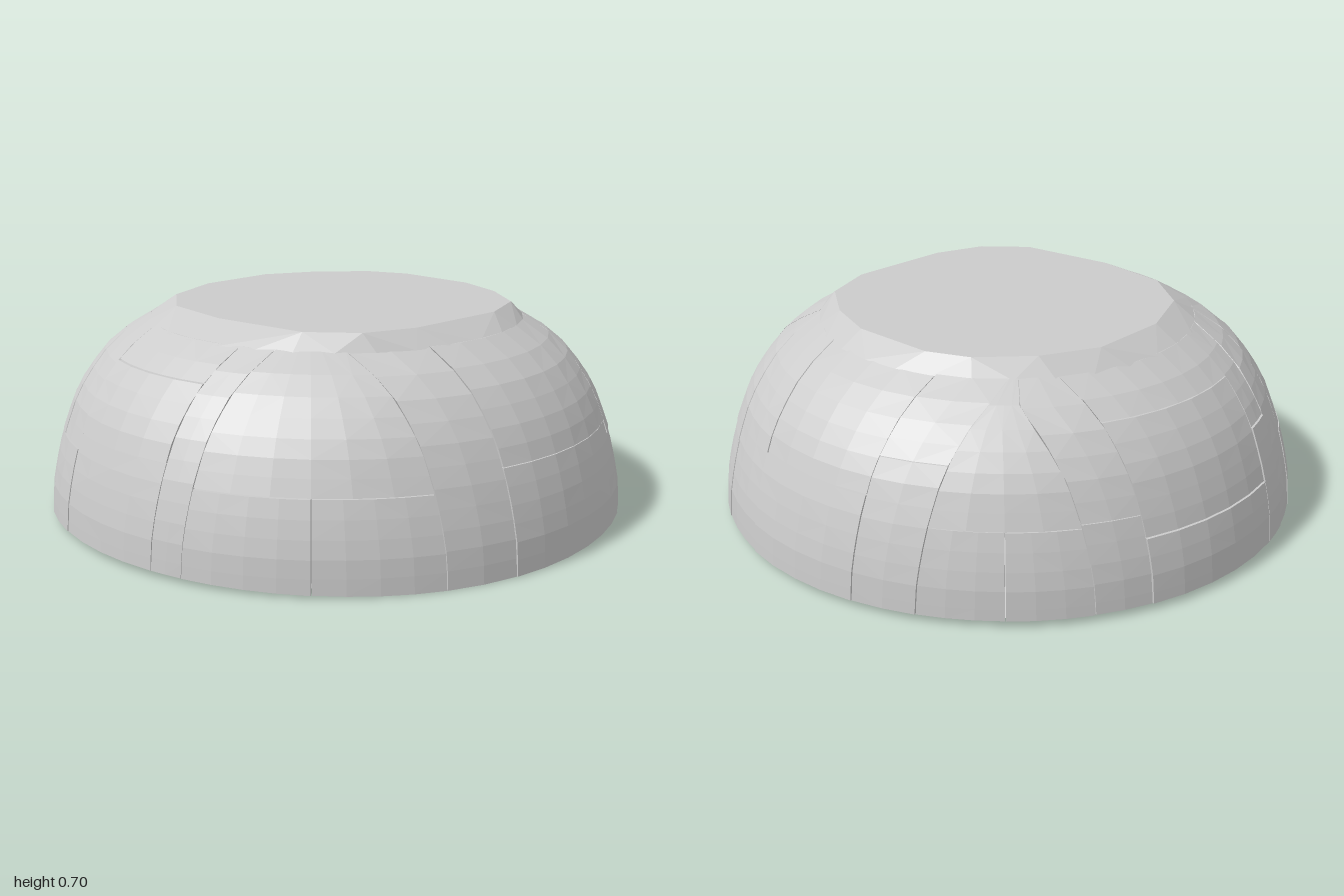
import * as THREE from 'three';
import { ConvexGeometry } from 'three/addons/geometries/ConvexGeometry.js';

const stone = new THREE.MeshStandardMaterial({ color: 0xcccccc, flatShading: true, side: THREE.DoubleSide });

// Outer dome profile: [height, radius]
const PROFILE = [[0, 1], [0.1, 0.995], [0.2, 0.975], [0.3, 0.945], [0.4, 0.905], [0.46, 0.87], [0.54, 0.808], [0.6, 0.735], [0.65, 0.65], [0.7, 0.56]];
const TOP = 0.655;

function radiusAt(y) {
  const i = Math.max(1, PROFILE.findIndex(p => p[0] >= y));
  const [y0, r0] = PROFILE[i - 1], [y1, r1] = PROFILE[i];
  return r0 + (r1 - r0) * (y - y0) / (y1 - y0);
}

// Upright joints in order round the dome: [side, offset along that side, heights of level joints
// in the block that follows, whether its bottom course is halved]. Sides: 0 front, 1 left, 2 back, 3 right.
const JOINTS = [
  [0, -0.43, [], false],
  [0, -0.2, [0.33], false],
  [0, 0.47, [0.285], true],
  [1, -0.46, [0.29], false],
  [1, -0.2, [0.35], false],
  [1, 0.26, [0.46], false],
  [1, 0.46, [0.29], true],
  [2, -0.52, [0.3], false],
  [2, -0.35, [0.23, 0.55], false],
  [2, 0.22, [0.4], false],
  [2, 0.34, [], false],
  [2, 0.49, [0.28], true],
  [3, -0.46, [0.29], false],
  [3, -0.26, [0.34, 0.56], false],
  [3, 0.2, [], false],
  [3, 0.31, [0.285], true],
];

// Outline of the flat top: [x, z]
const TOP_OUTLINE = [
  [-0.49, 0.35], [-0.37, 0.49], [-0.19, 0.55], [0.19, 0.55], [0.38, 0.47], [0.5, 0.3], [0.57, 0.11],
  [0.57, -0.19], [0.51, -0.33], [0.36, -0.47], [0.17, -0.56], [-0.12, -0.55], [-0.35, -0.45], [-0.49, -0.27], [-0.53, 0],
];

// A straight cut parallel to an axis gives an angle that changes with height
function jointAngle([side, offset], y) {
  const limit = Math.PI * 0.243;
  const turn = Math.asin(THREE.MathUtils.clamp(offset / radiusAt(y), -0.99, 0.99));
  return side * Math.PI / 2 + THREE.MathUtils.clamp(turn, -limit, limit);
}

// The foot of the wall dips a little at the front
const footAt = a => 0.022 - 0.02 * Math.max(0, Math.cos(a + 0.4)) ** 4;

// Curved block between two angle functions and two heights, with its edges folded inward
function blockGeometry(from, to, y0, y1, bulge) {
  const gap = 0.0015, depth = 0.035;
  const nu = Math.max(2, Math.ceil((to(y0) - from(y0)) / 0.13));
  const nv = Math.max(2, Math.ceil((y1 - y0) / 0.06));
  const pos = [], index = [], row = nu + 3;
  for (let j = -1; j <= nv + 1; j++) {
    for (let i = -1; i <= nu + 1; i++) {
      const u = THREE.MathUtils.clamp(i / nu, 0, 1), v = THREE.MathUtils.clamp(j / nv, 0, 1);
      let y = THREE.MathUtils.lerp(y0 + gap, y1 - gap, v);
      const a = THREE.MathUtils.lerp(from(y) + gap, to(y) - gap, u);
      const lip = i < 0 || j < 0 || i > nu || j > nv;
      const r = radiusAt(y) + bulge - (lip ? depth : 0);
      if (y0 === 0 && v === 0) y = footAt(a);
      pos.push(r * Math.sin(a), y, r * Math.cos(a));
    }
  }
  for (let j = 0; j < nv + 2; j++) {
    for (let i = 0; i < nu + 2; i++) {
      const a = j * row + i, b = a + 1, c = a + row, d = c + 1;
      if ((i + j) % 2) index.push(a, b, d, a, d, c);
      else index.push(a, b, c, b, d, c);
    }
  }
  const g = new THREE.BufferGeometry();
  g.setAttribute('position', new THREE.Float32BufferAttribute(pos, 3));
  g.setIndex(index);
  g.computeVertexNormals();
  return g;
}

function addMesh(parent, name, geometry) {
  const mesh = new THREE.Mesh(geometry, stone);
  mesh.name = name;
  parent.add(mesh);
}

// Flat top whose hewn rim slopes down to the round wall
function topSlabGeometry() {
  const points = TOP_OUTLINE.map(([x, z]) => new THREE.Vector3(x, 0.703, z));
  for (let i = 0; i < 32; i++) {
    const a = i * Math.PI / 16;
    points.push(new THREE.Vector3(0.652 * Math.sin(a), 0.648, 0.652 * Math.cos(a)));
  }
  return new ConvexGeometry(points);
}

export function createModel() {
  const model = new THREE.Group();
  model.name = 'stoneDome';

  // Wall of fitted blocks
  const wall = new THREE.Group();
  wall.name = 'wallBlocks';
  const addBlock = (from, to, y0, y1) => {
    const bulge = 0.002 * (wall.children.length % 3 - 1);
    addMesh(wall, 'wallBlock', blockGeometry(from, to, y0, y1, bulge));
  };
  JOINTS.forEach((joint, k) => {
    const last = k === JOINTS.length - 1;
    const next = JOINTS[(k + 1) % JOINTS.length];
    const from = y => jointAngle(joint, y);
    const to = y => jointAngle(next, y) + (last ? Math.PI * 2 : 0);
    const middle = y => (from(y) + to(y)) / 2;
    const levels = [0, ...joint[2], TOP];
    for (let i = 0; i + 1 < levels.length; i++) {
      if (i === 0 && joint[3]) {
        addBlock(from, middle, levels[0], levels[1]);
        addBlock(middle, to, levels[0], levels[1]);
      } else addBlock(from, to, levels[i], levels[i + 1]);
    }
  });
  model.add(wall);

  addMesh(model, 'topSlab', topSlabGeometry());

  // Hollow inside: courses of broad flat facets under a shallow ceiling
  const hollow = [[0.985, 0.022], [0.83, 0.3], [0.73, 0.45], [0.57, 0.57], [0, 0.63]];
  addMesh(model, 'innerLining', new THREE.LatheGeometry(hollow.map(p => new THREE.Vector2(...p)), 16));
  return model;
}
